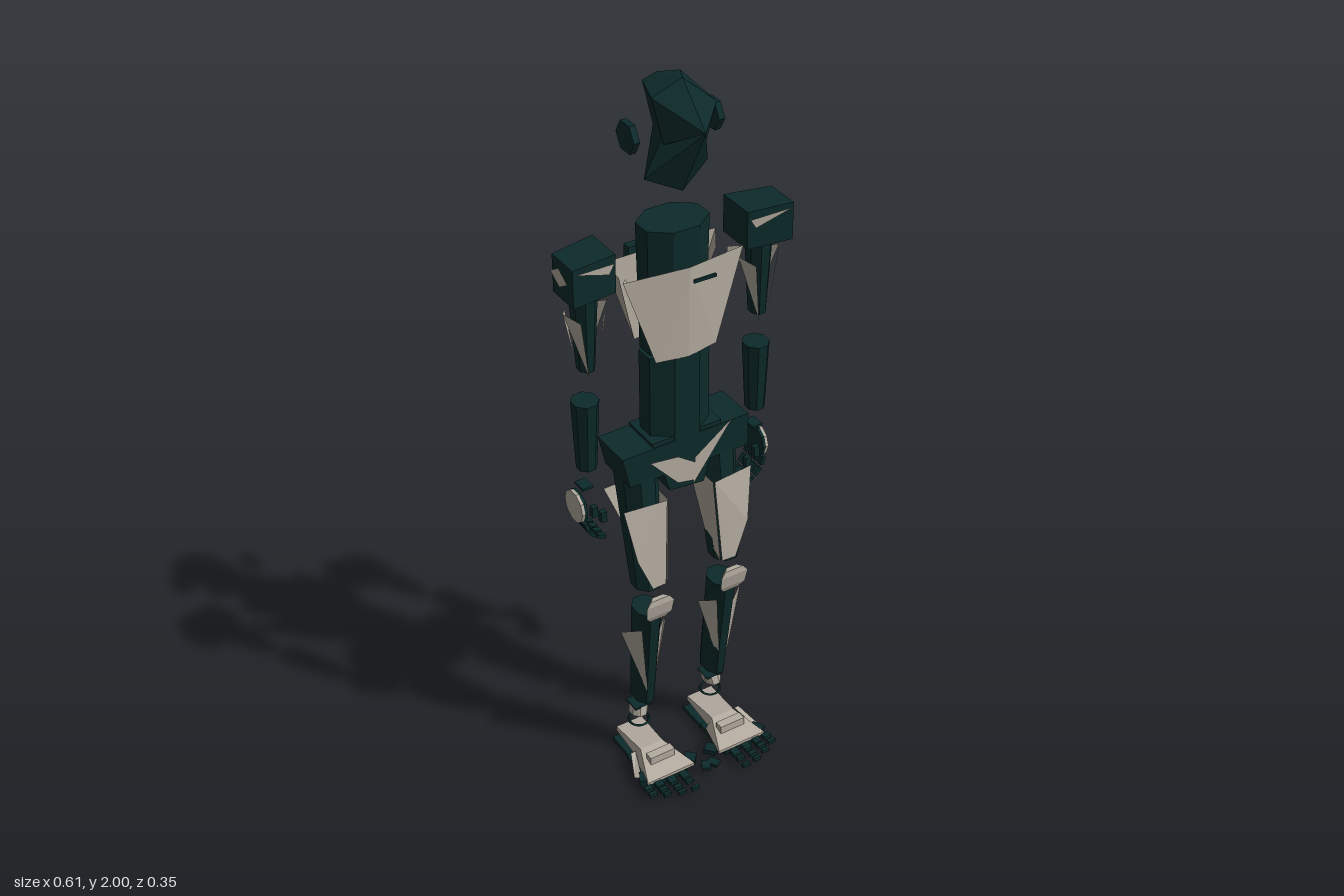
import * as THREE from 'three';
import { ConvexGeometry } from 'three/addons/geometries/ConvexGeometry.js';

const make = (color, name) => {
  const m = new THREE.MeshStandardMaterial({ color, flatShading: true, side: THREE.DoubleSide });
  m.name = name;
  return m;
};

export function createModel() {
  const dark = make(0x0d2a2a, 'dark teal');
  const light = make(0xb4aca0, 'warm grey');
  const model = new THREE.Group();
  model.name = 'robot';

  const add = (parent, name, geo, mat) => {
    const mesh = new THREE.Mesh(geo, mat);
    mesh.name = name;
    parent.add(mesh);
    return mesh;
  };
  // Box given by its x, y and z ranges
  const box = (parent, name, mat, [x0, x1], [y0, y1], [z0, z1]) => {
    const mesh = add(parent, name, new THREE.BoxGeometry(x1 - x0, y1 - y0, z1 - z0), mat);
    mesh.position.set((x0 + x1) / 2, (y0 + y1) / 2, (z0 + z1) / 2);
    return mesh;
  };
  const hull = (parent, name, mat, pts) =>
    add(parent, name, new ConvexGeometry(pts.map(p => new THREE.Vector3(...p))), mat);
  // Eight-sided column through sections [y, x0, x1, z0, z1]
  const column = (parent, name, mat, sections) => {
    const pts = [];
    for (const [y, x0, x1, z0, z1] of sections) {
      for (let i = 0; i < 8; i++) {
        const a = (i + 0.5) * Math.PI / 4, k = 0.5 / Math.cos(Math.PI / 8);
        pts.push([(x0 + x1) / 2 + Math.cos(a) * k * (x1 - x0), y, (z0 + z1) / 2 + Math.sin(a) * k * (z1 - z0)]);
      }
    }
    return hull(parent, name, mat, pts);
  };
  // Thin open panel: a fan over its corners
  const plate = (parent, name, mat, pts) => {
    const pos = [];
    for (let i = 1; i < pts.length - 1; i++) pos.push(...pts[0], ...pts[i], ...pts[i + 1]);
    const g = new THREE.BufferGeometry();
    g.setAttribute('position', new THREE.Float32BufferAttribute(pos, 3));
    g.computeVertexNormals();
    return add(parent, name, g, mat);
  };

  // Head: faceted mask and cranium over a flared jaw
  hull(model, 'headUpper', dark, [
    [-0.08, 1.97, -0.02], [0, 2, -0.02], [0.09, 1.92, -0.02], [0.06, 1.82, -0.02], [-0.05, 1.85, -0.02],
    [0.02, 1.885, 0.045], [-0.05, 1.97, -0.11], [0.05, 1.97, -0.11], [0, 1.97, -0.13], [0, 1.8, -0.13]]);
  hull(model, 'headLower', dark, [
    [-0.09, 1.765, -0.04], [0.08, 1.77, -0.04], [0, 1.715, -0.06], [0, 1.72, -0.02], [0.02, 1.885, 0.045],
    [-0.05, 1.86, -0.03], [0.055, 1.84, -0.03], [0, 1.78, -0.13], [0, 1.9, -0.13]]);

  // Torso core, chest armour and backpack
  column(model, 'torsoCore', dark, [[1.63, -0.085, 0.085, -0.13, 0], [1.29, -0.08, 0.08, -0.12, -0.01]]);
  column(model, 'waist', dark, [[1.285, -0.085, 0.085, -0.12, 0], [1.04, -0.085, 0.085, -0.12, 0]]);
  for (const s of [1, -1]) {
    plate(model, 'chestPlate', light, [
      [0, 1.535, 0.012], [s * 0.165, 1.53, -0.015], [s * 0.085, 1.29, -0.005], [0, 1.285, 0.005]]);
    plate(model, 'chestSide', light, [
      [s * 0.165, 1.53, -0.015], [s * 0.14, 1.52, -0.045], [s * 0.085, 1.29, -0.005]]);
    plate(model, 'backPlate', light, [
      [0, 1.52, -0.135], [s * 0.155, 1.53, -0.12], [s * 0.075, 1.29, -0.122], [0, 1.29, -0.13]]);
    plate(model, 'backSide', light, [
      [s * 0.155, 1.53, -0.12], [s * 0.135, 1.5, -0.085], [s * 0.075, 1.29, -0.122]]);
  }
  box(model, 'chestBar', dark, [-0.03, 0.03], [1.535, 1.543], [0.073, 0.079]);
  hull(model, 'backpack', dark, [-0.172, -0.148].flatMap(z =>
    [[-0.07, 1.53, z], [0.07, 1.53, z], [0.07, 1.43, z], [0.05, 1.35, z], [-0.05, 1.35, z], [-0.07, 1.43, z]]));
  box(model, 'backpackStrip', light, [-0.038, 0.038], [1.365, 1.375], [-0.179, -0.172]);

  // Pelvis with a split armour plate front and back
  hull(model, 'hipBand', dark, [0, -0.12].flatMap(z =>
    [[-0.185, 1.045, z], [0.18, 1.05, z], [0.18, 0.955, z], [-0.165, 0.955, z]]));
  hull(model, 'crotch', dark, [-0.002, -0.115].flatMap(z =>
    [[-0.1, 1.06, z], [0.1, 1.06, z], [0.05, 0.89, z], [-0.05, 0.9, z]]));
  for (const z of [0.005, -0.126]) {
    plate(model, 'pelvisPlate', light, [
      [-0.11, 1.01, z], [-0.03, 1.0, z], [0.02, 0.965, z], [0.02, 0.91, z], [-0.03, 0.92, z]]);
    plate(model, 'pelvisFin', light, [[0.13, 1.06, z], [0.02, 0.98, z], [0.015, 0.9, z]]);
  }

  // One side of the limbs, on the model's left
  const buildSide = () => {
    const g = new THREE.Group();

    const ear = add(g, 'ear', new THREE.CylinderGeometry(0.04, 0.04, 0.016, 6), dark);
    ear.rotation.z = Math.PI / 2;
    ear.position.set(0.112, 1.865, -0.07);

    // Shoulder block with a pale end cap
    hull(g, 'shoulder', dark, [1.51, 1.61].flatMap(y =>
      [[0.3, y, -0.1], [0.3, y, -0.005], [0.18, y, -0.02], [0.18, y, -0.125]]));
    plate(g, 'shoulderCap', light, [
      [0.303, 1.565, -0.025], [0.303, 1.59, -0.065], [0.303, 1.565, -0.105], [0.303, 1.54, -0.065]]);
    plate(g, 'shoulderSliver', light, [[0.295, 1.6, 0], [0.2, 1.565, -0.014], [0.185, 1.59, -0.015]]);

    // Upper arm with side armour, then forearm
    column(g, 'upperArm', dark, [[1.52, 0.21, 0.275, -0.1, -0.03], [1.3, 0.222, 0.262, -0.09, -0.04]]);
    for (const [x, y, tip] of [[0.3, 1.47, 0.25], [0.182, 1.47, 0.228]]) {
      plate(g, 'armArmourFront', light, [[x, y, -0.06], [x * 0.5 + 0.121, 1.45, -0.026], [tip, 1.29, -0.034]]);
      plate(g, 'armArmourBack', light, [[x, y, -0.06], [x * 0.5 + 0.121, 1.45, -0.104], [tip, 1.29, -0.095]]);
    }
    column(g, 'forearm', dark, [[1.205, 0.213, 0.277, -0.105, -0.035], [1.01, 0.222, 0.27, -0.095, -0.045]]);

    // Hand: dark palm, pale back, curled fingers and thumb
    for (const [name, mat, x] of [['palm', dark, 0.264], ['handBack', light, 0.272]]) {
      const disc = add(g, name, new THREE.CylinderGeometry(0.045, 0.045, 0.008, 10), mat);
      disc.rotation.z = Math.PI / 2;
      disc.position.set(x, 0.885, -0.09);
    }
    box(g, 'wrist', dark, [0.235, 0.265], [0.945, 0.952], [-0.1, -0.06]);
    for (let f = 0; f < 4; f++) {
      const z = -0.055 - f * 0.022;
      [[0.262, 0.84, 0.3], [0.247, 0.812, 0.7], [0.222, 0.795, 1.2]].forEach(([x, y, tilt]) => {
        const seg = add(g, 'finger', new THREE.BoxGeometry(0.01, 0.024, 0.015), dark);
        seg.position.set(x, y, z);
        seg.rotation.z = -tilt;
      });
    }
    for (const [x, y] of [[0.24, 0.88], [0.215, 0.855]]) {
      box(g, 'thumb', dark, [x - 0.008, x + 0.008], [y - 0.015, y + 0.015], [-0.06, -0.045]);
    }

    // Thigh with armour on its front, inner and back faces
    column(g, 'thigh', dark, [[0.96, 0.065, 0.165, -0.12, 0], [0.63, 0.08, 0.155, -0.05, 0.03]]);
    plate(g, 'thighFront', light, [
      [0.07, 0.89, 0.018], [0.188, 0.89, 0.005], [0.165, 0.74, 0.03], [0.125, 0.64, 0.036], [0.085, 0.64, 0.034]]);
    plate(g, 'thighInner', light, [[0.066, 0.89, 0.018], [0.066, 0.89, -0.11], [0.078, 0.68, -0.03], [0.08, 0.64, 0.034]]);
    plate(g, 'thighBack', light, [[0.066, 0.89, -0.11], [0.18, 0.89, -0.108], [0.1, 0.67, -0.065]]);

    // Knee cap
    hull(g, 'knee', light, [[0, 0], [0.012, -0.014]].flatMap(([inset, dz]) => [
      [0.085 + inset, 0.612, 0.05 + dz], [0.14 - inset, 0.612, 0.05 + dz], [0.153 - inset, 0.595, 0.052 + dz],
      [0.15 - inset, 0.555, 0.045 + dz], [0.135 - inset, 0.535, 0.036 + dz], [0.09 + inset, 0.535, 0.036 + dz],
      [0.075 + inset, 0.555, 0.045 + dz], [0.072 + inset, 0.595, 0.052 + dz]]));

    // Shin with flared side armour
    column(g, 'shin', dark, [[0.545, 0.08, 0.15, -0.06, 0.03], [0.205, 0.085, 0.138, -0.095, -0.01]]);
    for (const [x, mid, tip] of [[0.185, 0.15, 0.122], [0.052, 0.08, 0.105]]) {
      plate(g, 'shinArmour', light, [[x, 0.475, -0.03], [mid, 0.5, 0.02], [tip, 0.25, -0.004]]);
      plate(g, 'shinArmourEdge', light, [[x, 0.475, -0.03], [tip, 0.25, -0.004], [mid, 0.4, -0.03]]);
    }

    // Ankle block and ring
    column(g, 'ankle', light, [[0.168, 0.088, 0.138, -0.09, -0.04], [0.14, 0.095, 0.142, -0.09, -0.035]]);
    box(g, 'ankleTop', dark, [0.09, 0.14], [0.166, 0.171], [-0.09, -0.04]);
    const ring = add(g, 'ankleRing', new THREE.TorusGeometry(0.028, 0.004, 4, 16), dark);
    ring.rotation.x = Math.PI / 2;
    ring.position.set(0.115, 0.105, -0.065);

    // Foot: pale instep and heel over a dark sole
    hull(g, 'instep', light, [
      [0.08, 0.06, 0], [0.15, 0.06, 0], [0.04, 0.035, 0.1], [0.187, 0.035, 0.1],
      [0.06, 0.03, 0], [0.165, 0.03, 0], [0.04, 0.026, 0.1], [0.187, 0.026, 0.1]]);
    box(g, 'instepBlock', light, [0.075, 0.15], [0.045, 0.07], [0.03, 0.055]);
    hull(g, 'heel', light, [
      [0.08, 0.06, 0], [0.15, 0.06, 0], [0.075, 0.05, -0.12], [0.155, 0.05, -0.12],
      [0.07, 0.032, 0], [0.16, 0.032, 0], [0.075, 0.035, -0.12], [0.155, 0.035, -0.12]]);
    plate(g, 'footFlank', light, [[0.16, 0.05, -0.01], [0.175, 0.05, -0.01], [0.2, 0.02, 0.05], [0.185, 0.025, 0.065]]);
    box(g, 'heelSole', dark, [0.065, 0.165], [0, 0.012], [-0.125, -0.035]);
    box(g, 'sole', dark, [0.06, 0.175], [0.012, 0.024], [-0.03, 0.1]);

    // Jointed toes
    const toes = [
      [0.082, [0.103, 0.13], [0.137, 0.147], [0.165, 0.175]], [0.12, [0.102, 0.126], [0.137, 0.15], [0.16, 0.17]],
      [0.157, [0.1, 0.12], [0.125, 0.137], [0.146, 0.155]], [0.19, [0.1, 0.115], [0.125, 0.136]]];
    for (const [x, ...joints] of toes) {
      for (const z of joints) box(g, 'toe', dark, [x - 0.011, x + 0.011], [0.017, 0.029], z);
    }
    box(g, 'outerToeBase', dark, [0.165, 0.195], [0.012, 0.035], [0.055, 0.09]).rotation.y = 0.5;
    box(g, 'innerToeBase', dark, [0.018, 0.05], [0.015, 0.03], [0.052, 0.085]).rotation.y = 0.7;
    box(g, 'innerToeTip', dark, [0, 0.024], [0.017, 0.027], [0.1, 0.13]).rotation.y = 0.5;
    return g;
  };

  const left = buildSide();
  left.name = 'leftSide';
  const right = buildSide();
  right.name = 'rightSide';
  right.scale.x = -1;
  model.add(left, right);
  return model;
}
